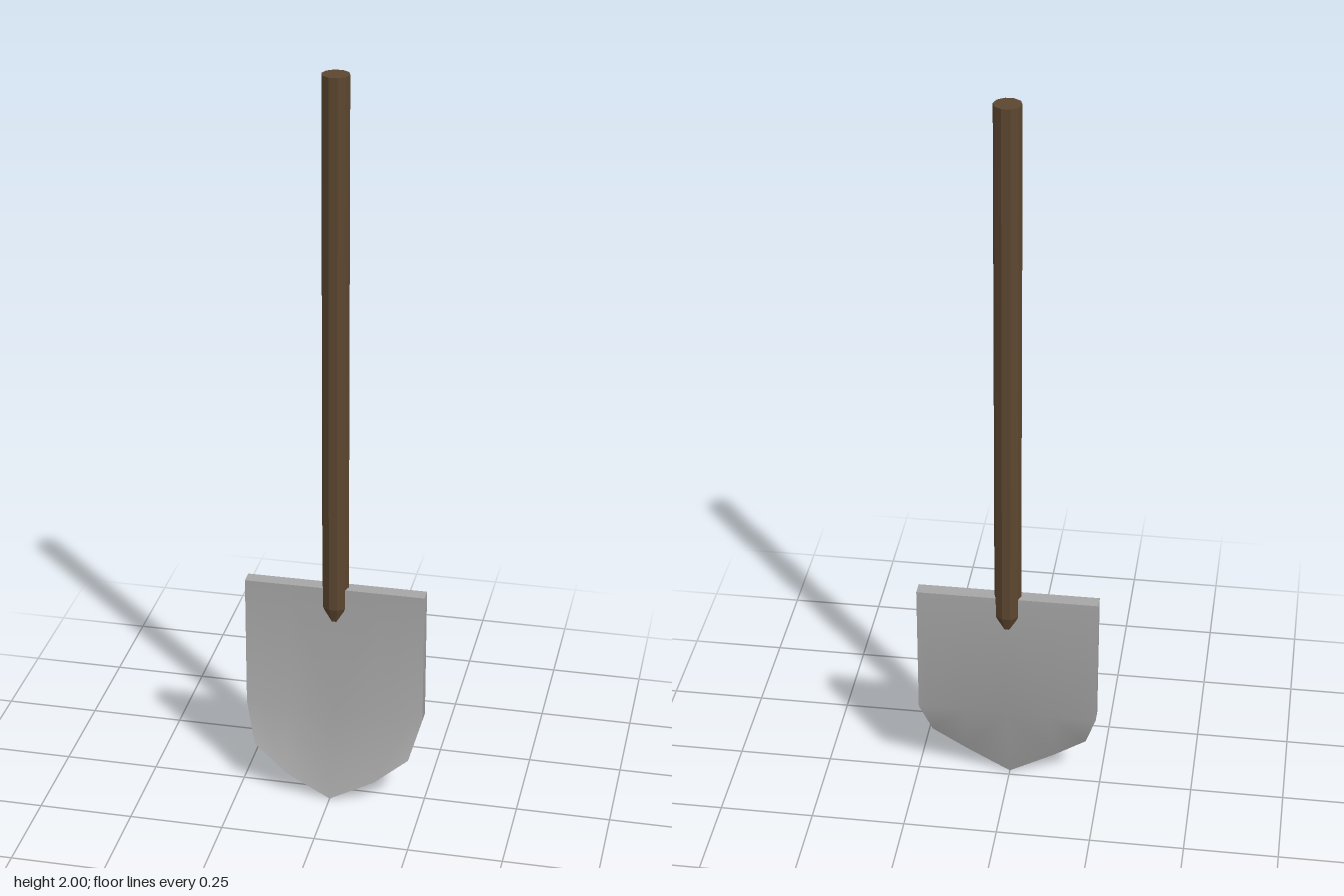
import * as THREE from 'three';
import { toCreasedNormals } from 'three/addons/utils/BufferGeometryUtils.js';

// Blade columns: x, height of the lower rim, forward bend at the rim
const HALF = [[0, 0, 0.059], [0.12, 0.066, 0.059], [0.21, 0.136, 0.041], [0.24, 0.24, 0]];
const TOP = 0.61, BEND = 0.24, FRONT = -0.004, THICK = 0.038;

function bladeGeometry() {
  const columns = [
    ...HALF.slice(1).reverse().map(([x, y, z]) => [-x, y, z]),
    ...HALF,
  ];
  const positions = [];
  const tri = (a, b, c) => {
    const area = new THREE.Vector3().subVectors(b, a).cross(new THREE.Vector3().subVectors(c, a));
    if (area.length() > 1e-8) for (const p of [a, b, c]) positions.push(p.x, p.y, p.z);
  };
  const quad = (a, b, c, d) => { tri(a, b, c); tri(a, c, d); };

  // Each column runs from the top edge to the bend, then out to the rim
  const sheet = (z) => columns.map(([x, y, bend]) => [
    new THREE.Vector3(x, TOP, z),
    new THREE.Vector3(x, BEND, z),
    new THREE.Vector3(x, y, z + bend),
  ]);
  const front = sheet(FRONT), back = sheet(FRONT - THICK);
  const last = columns.length - 1;

  for (let i = 0; i < last; i++) {
    const f = front[i], g = front[i + 1], b = back[i], c = back[i + 1];
    for (let r = 0; r < 2; r++) {
      // Diagonals mirror about the centre line
      if (i < last / 2) {
        quad(f[r], f[r + 1], g[r + 1], g[r]);
        quad(b[r + 1], b[r], c[r], c[r + 1]);
      } else {
        quad(f[r + 1], g[r + 1], g[r], f[r]);
        quad(b[r], c[r], c[r + 1], b[r + 1]);
      }
    }
    quad(f[0], g[0], c[0], b[0]); // top edge
    quad(f[2], b[2], c[2], g[2]); // lower rim
  }
  // Straight side edges
  quad(front[0][0], back[0][0], back[0][1], front[0][1]);
  quad(front[last][0], front[last][1], back[last][1], back[last][0]);

  const geometry = new THREE.BufferGeometry();
  geometry.setAttribute('position', new THREE.Float32BufferAttribute(positions, 3));
  return toCreasedNormals(geometry, 0.5);
}

export function createModel() {
  const wood = new THREE.MeshStandardMaterial({ color: 0x5c4630, flatShading: true });
  wood.name = 'brown wood';
  const steel = new THREE.MeshStandardMaterial({ color: 0xa6a6a6 });
  steel.name = 'grey steel';

  const model = new THREE.Group();
  model.name = 'shovel';

  const blade = new THREE.Mesh(bladeGeometry(), steel);
  blade.name = 'blade';
  model.add(blade);

  // Ten-sided handle with a tapered end sunk into the blade
  const profile = [[0, 0.5], [0.015, 0.5], [0.0355, 0.555], [0.0355, 2], [0, 2]]
    .map(([r, y]) => new THREE.Vector2(r, y));
  const handle = new THREE.Mesh(new THREE.LatheGeometry(profile, 10, Math.PI / 2), wood);
  handle.name = 'handle';
  handle.position.z = -0.023;
  model.add(handle);

  return model;
}
